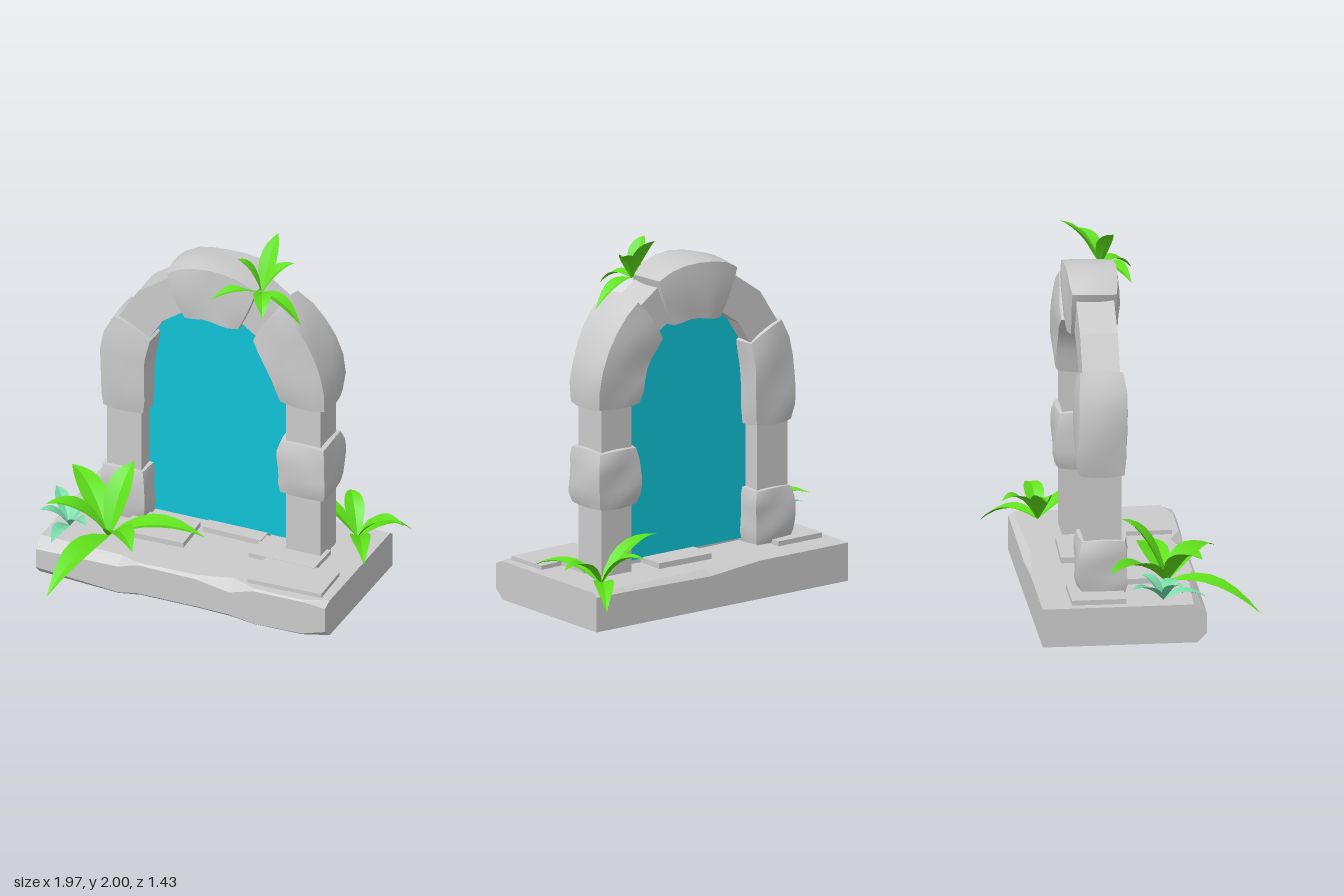
import * as THREE from 'three';
import { toCreasedNormals } from 'three/addons/utils/BufferGeometryUtils.js';

const R = 0.517, SPRING = 1.14, RISE = 1.05, HALF = Math.PI * R; // arch centreline
const DEPTH_POS = -0.094;                                        // arch plane in the base

const stoneMat = new THREE.MeshStandardMaterial({ color: 0xcccccc });
const flatMat = new THREE.MeshStandardMaterial({ color: 0xcccccc, flatShading: true });
const waterMat = new THREE.MeshStandardMaterial({ color: 0x10c4d8, side: THREE.DoubleSide });
const leafMat = new THREE.MeshStandardMaterial({ color: 0x5fe01a, side: THREE.DoubleSide });
const paleMat = new THREE.MeshStandardMaterial({ color: 0x78dcaa, side: THREE.DoubleSide });

function add(parent, name, geometry, material) {
  const mesh = new THREE.Mesh(geometry, material);
  mesh.name = name;
  parent.add(mesh);
  return mesh;
}

// Path up the right column (s < 0), over the arch, and down the left column (s > HALF)
function onPath(s, r) {
  if (s <= 0) return [R + r, SPRING + s];
  if (s >= HALF) return [-R - r, SPRING - (s - HALF)];
  const a = s / R;
  return [(R + r) * Math.cos(a), SPRING + (R + r) * Math.sin(a) * RISE];
}

// Box bent along the path; round softens the section, taper narrows the ends
function bentBlock(s0, s1, w, d, segs, round = 0, taper = 0, seed = 0) {
  const n = round ? 4 : 1;
  const g = new THREE.BoxGeometry(2, 2, 2, n, segs, n);
  const p = g.attributes.position;
  for (let i = 0; i < p.count; i++) {
    const x = p.getX(i), y = p.getY(i), z = p.getZ(i);
    const wobble = round ? 1 + 0.035 * Math.sin(seed + 2.3 * x + 3.1 * y + 1.7 * z) : 1;
    const k = (1 - taper * Math.pow(Math.abs(y), 5)) * wobble;
    const r = x * Math.sqrt(1 - round * z * z / 2) * k * w / 2;
    const v = z * Math.sqrt(1 - round * x * x / 2) * k * d / 2;
    const s = (s0 + s1) / 2 + y * (1 - (round ? 0.04 * (x * x + z * z) : 0)) * (s1 - s0) / 2;
    const [px, py] = onPath(s, r);
    p.setXYZ(i, px, py, v);
  }
  return round ? toCreasedNormals(g, 0.75) : g;
}

// Slab lofted along x from chipped cross-sections
function slabGeometry() {
  // x, front top chamfer (in, down), front bottom chamfer (in, up), back top chamfer
  const sections = [
    [-0.835, 0.07, 0.05, 0.05, 0.05, 0.002],
    [-0.36, 0.05, 0.045, 0.01, 0.01, 0.002],
    [-0.25, 0.012, 0.01, 0.04, 0.03, 0.002],
    [0.08, 0.02, 0.015, 0.04, 0.03, 0.045],
    [0.28, 0.07, 0.05, 0.03, 0.025, 0.04],
    [0.42, 0.012, 0.01, 0.004, 0.004, 0.035],
    [0.70, 0.01, 0.008, 0.01, 0.01, 0.03],
    [0.835, 0.06, 0.02, 0.06, 0.05, 0.03],
  ];
  const N = 7, H = 0.21, D = 0.435, pos = [], idx = [];
  for (const [x, a, b, c, e, f] of sections) {
    pos.push(x, 0, -D, x, H - f * 0.7, -D, x, H, -D + f, x, H, D - a);
    pos.push(x, H - b, D, x, e, D, x, 0, D - c);
  }
  for (let s = 0; s < sections.length - 1; s++) {
    for (let i = 0; i < N; i++) {
      const a = s * N + i, b = s * N + (i + 1) % N;
      idx.push(a, b, a + N, b, b + N, a + N);
    }
  }
  const last = (sections.length - 1) * N;
  for (let i = 1; i < N - 1; i++) {
    idx.push(0, i + 1, i, last, last + i, last + i + 1);
  }
  const g = new THREE.BufferGeometry();
  g.setAttribute('position', new THREE.Float32BufferAttribute(pos, 3));
  g.setIndex(idx);
  const flat = g.toNonIndexed();
  flat.computeVertexNormals();
  return flat;
}

// Folded leaf arching from root to tip
function leafGeometry(root, tip, width, arch) {
  const mid = root.clone().lerp(tip, 0.5);
  mid.y += arch;
  const curve = new THREE.QuadraticBezierCurve3(root, mid, tip);
  const along = tip.clone().sub(root);
  const side = new THREE.Vector3(-along.z, 0, along.x);
  if (side.length() < 0.5 * Math.abs(along.y)) side.set(1, 0, -0.3);
  side.normalize();
  const up = side.clone().cross(along).normalize();
  if (up.y < 0) up.negate();
  const n = 7, pos = [], idx = [];
  for (let i = 0; i <= n; i++) {
    const t = i / n, c = curve.getPoint(t);
    const h = width / 2 * (0.12 * (1 - t) + Math.sin(Math.PI * Math.pow(t, 0.85)));
    for (const k of [-1, 0, 1]) {
      const q = c.clone().addScaledVector(side, k * h).addScaledVector(up, Math.abs(k) * h * 0.35);
      pos.push(q.x, q.y, q.z);
    }
    if (i < n) for (const a of [3 * i, 3 * i + 1]) idx.push(a, a + 1, a + 3, a + 1, a + 4, a + 3);
  }
  const g = new THREE.BufferGeometry();
  g.setAttribute('position', new THREE.Float32BufferAttribute(pos, 3));
  g.setIndex(idx);
  return toCreasedNormals(g, 0.5);
}

function plant(name, root, tips, width, arch, material) {
  const group = new THREE.Group();
  group.name = name;
  const base = new THREE.Vector3(...root);
  for (const tip of tips) add(group, 'leaf', leafGeometry(base, new THREE.Vector3(...tip), width, arch), material);
  return group;
}

export function createModel() {
  const model = new THREE.Group();
  model.name = 'stoneArchway';

  // Stonework, turned on the spot
  const stonework = new THREE.Group();
  stonework.name = 'stonework';
  stonework.position.set(-0.055, 0, -0.005);
  stonework.rotation.y = -0.381;
  model.add(stonework);
  add(stonework, 'baseSlab', slabGeometry(), flatMat);

  // Thin paving stones: x, z, width, depth, turn
  const pavers = [
    [0.57, 0.25, 0.42, 0.25, 0.03], [0.45, 0.03, 0.38, 0.21, -0.02], [-0.64, -0.13, 0.29, 0.29, 0],
    [-0.28, 0.07, 0.36, 0.24, 0.04], [0.1, -0.13, 0.34, 0.24, -0.03],
  ];
  pavers.forEach(([x, z, w, d, turn], i) => {
    const mesh = add(stonework, 'pavingStone', new THREE.BoxGeometry(w, 0.04, d), flatMat);
    mesh.position.set(x, 0.213 + 0.002 * i, z);
    mesh.rotation.y = turn;
  });

  // Arch: plain columns and ring, with bulging stones over them
  const arch = new THREE.Group();
  arch.name = 'arch';
  arch.position.z = DEPTH_POS;
  stonework.add(arch);
  add(arch, 'rightColumn', bentBlock(-0.935, 0, 0.2, 0.2, 1), flatMat);
  add(arch, 'archRing', bentBlock(0, HALF, 0.2, 0.2, 8), flatMat);
  add(arch, 'leftColumn', bentBlock(HALF, HALF + 0.935, 0.2, 0.2, 1), flatMat);
  const stones = [
    ['rightMiddleStone', -0.57, -0.24, 0.29, 0.28],
    ['rightShoulderStone', -0.03, 0.5, 0.31, 0.29],
    ['keystone', 0.59, 1.05, 0.31, 0.28],
    ['leftShoulderStone', HALF - 0.25, HALF + 0.29, 0.27, 0.27],
    ['leftFootStone', HALF + 0.62, HALF + 0.93, 0.27, 0.27],
  ];
  stones.forEach(([name, s0, s1, w, d], i) =>
    add(arch, name, bentBlock(s0, s1, w, d, 6, 0.22, 0.11, i * 1.9), stoneMat));

  // Portal surface filling the opening
  const opening = new THREE.Shape();
  opening.moveTo(-0.43, 0.235);
  opening.lineTo(0.43, 0.235);
  opening.lineTo(0.43, SPRING);
  opening.absellipse(0, SPRING, 0.43, 0.46, 0, Math.PI, false);
  opening.closePath();
  add(arch, 'portalSurface', new THREE.ShapeGeometry(opening, 16), waterMat);

  // Plants: root, then leaf tips
  model.add(
    plant('largePlant', [-0.61, 0.23, 0.05], [
      [-0.10, 0.29, 0.15], [-0.92, 0.08, 0.45], [-0.94, 0.44, 0.09],
      [-0.48, 0.57, -0.15], [-0.82, 0.40, -0.40], [-0.47, 0.34, 0.41],
    ], 0.14, 0.14, leafMat),
    plant('rightPlant', [0.7, 0.21, -0.02], [
      [0.98, 0.15, -0.22], [0.95, 0.33, 0.06], [0.75, 0.27, 0.37],
      [0.35, 0.42, -0.15], [0.65, 0.36, -0.26],
    ], 0.1, 0.13, leafMat),
    plant('topPlant', [0.2, 1.75, 0.09], [
      [0.28, 2.0, -0.11], [0.07, 1.95, 0.09], [0.41, 1.61, 0.19],
      [-0.07, 1.72, 0.13], [0.21, 1.7, 0.28], [0.37, 1.91, 0.05],
    ], 0.09, 0.08, leafMat),
    plant('palePlant', [-0.82, 0.21, -0.08], [
      [-0.98, 0.32, -0.05], [-0.91, 0.22, 0.13], [-0.90, 0.32, -0.31],
      [-0.71, 0.33, -0.16], [-0.73, 0.28, 0.04],
    ], 0.08, 0.07, paleMat),
  );
  return model;
}
